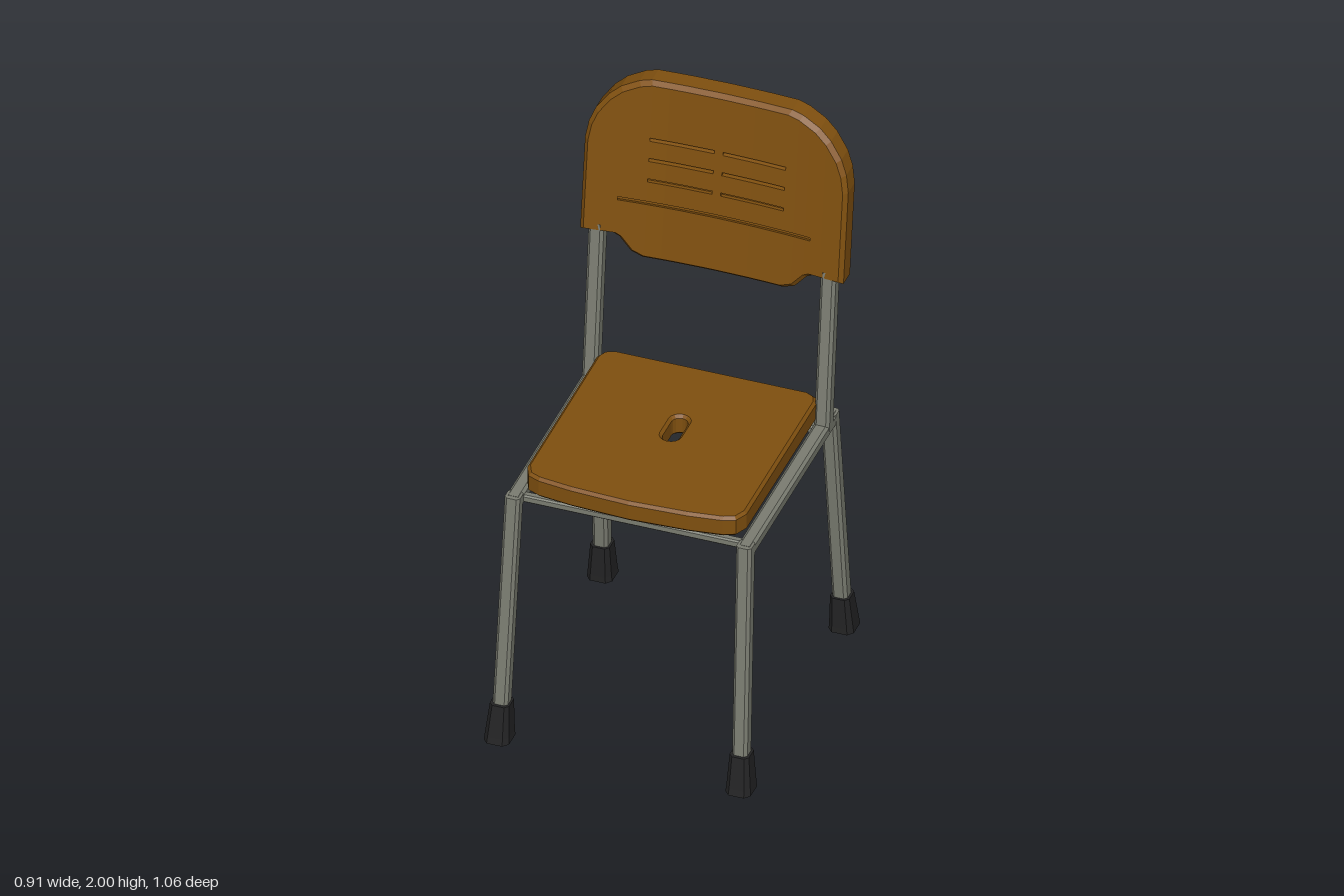
import * as THREE from 'three';
import { mergeGeometries } from 'three/addons/utils/BufferGeometryUtils.js';

const mat = (name, color) => {
  const m = new THREE.MeshStandardMaterial({ color });
  m.name = name;
  return m;
};

// Straight or stepped bar: chamfered rectangles [x, y, z, halfX, halfZ] joined bottom to top
function loft(sections) {
  const k = 0.62;
  const ring = [[1, -k], [1, k], [k, 1], [-k, 1], [-1, k], [-1, -k], [-k, -1], [k, -1]];
  const pts = sections.map(([x, y, z, a, b]) => ring.map(([u, v]) => [x + u * a, y, z - v * b]));
  const pos = [];
  const tri = (...p) => p.forEach((q) => pos.push(...q));
  for (let s = 0; s < pts.length - 1; s++) {
    const a = pts[s], b = pts[s + 1];
    for (let i = 0; i < 8; i++) {
      const j = (i + 1) % 8;
      tri(a[i], a[j], b[j]);
      tri(a[i], b[j], b[i]);
    }
  }
  const first = pts[0], last = pts[pts.length - 1];
  for (let i = 1; i < 7; i++) {
    tri(last[0], last[i], last[i + 1]);
    tri(first[0], first[i + 1], first[i]);
  }
  const g = new THREE.BufferGeometry();
  g.setAttribute('position', new THREE.Float32BufferAttribute(pos, 3));
  g.computeVertexNormals();
  return g;
}

// Linear lookup in a [[x, y], ...] profile
function sample(table, x) {
  x = Math.abs(x);
  for (let i = 1; i < table.length; i++) {
    const [x0, y0] = table[i - 1], [x1, y1] = table[i];
    if (x <= x1 + 1e-6) return y0 + (y1 - y0) * (x - x0) / (x1 - x0);
  }
  return table[table.length - 1][1];
}

// Curved, leaning backrest built from bent blocks in columns
function backrestGeometry() {
  const top = [[0, 2], [0.24, 2], [0.28, 1.99], [0.34, 1.96], [0.38, 1.925], [0.42, 1.87], [0.44, 1.82], [0.45, 1.76]];
  const bottom = [[0, 1.36], [0.24, 1.36], [0.28, 1.375], [0.32, 1.42], [0.34, 1.43], [0.45, 1.43]];
  const hi = (x) => sample(top, x), lo = (x) => sample(bottom, x);
  const half = [0.015, 0.12, 0.18, 0.24, 0.28, 0.32, 0.34, 0.38, 0.42, 0.44, 0.45];
  const xs = [...half.map((x) => -x).reverse(), ...half];
  const blocks = [];

  const block = (x0, x1, yLow, yHigh, w0, w1) => {
    const g = new THREE.BoxGeometry(1, 1, 1).toNonIndexed();
    const p = g.attributes.position;
    for (let i = 0; i < p.count; i++) {
      let x = x0 + (x1 - x0) * (p.getX(i) + 0.5);
      let y = yLow(x) + (yHigh(x) - yLow(x)) * (p.getY(i) + 0.5);
      const w = w1 + (w0 - w1) * (p.getZ(i) + 0.5);
      if (w === 0) { // chamfer around the front face
        x *= 0.968;
        y = 1.68 + (y - 1.68) * 0.96;
      }
      const bend = -0.028 * (1 - (x / 0.45) ** 2);
      p.setXYZ(i, x, y, -0.355 - 0.136 * (y - 1.43) + bend - w);
    }
    blocks.push(g);
  };

  for (let c = 0; c < xs.length - 1; c++) {
    const x0 = xs[c], x1 = xs[c + 1], m = Math.abs(x0 + x1) / 2;
    // Panel in two layers: grooves cut the front one, the top slot cuts both
    const inSlots = m > 0.015 && m < 0.24;
    const grooves = [...(m < 0.34 ? [1.56] : []), ...(inSlots ? [1.645, 1.722] : [])];
    const slot = inSlots ? [1.798] : [];
    for (const [w0, w1, cuts] of [[0, 0.015, [...grooves, ...slot]], [0.015, 0.032, slot]]) {
      let from = lo;
      for (const y of cuts) {
        block(x0, x1, from, () => y - 0.006, w0, w1);
        from = () => y + 0.006;
      }
      block(x0, x1, from, hi, w0, w1);
    }
    // Rear rim and post sockets
    if (m > 0.42) {
      block(x0, x1, lo, hi, 0.032, 0.075);
    } else {
      const band = m > 0.3 ? 0.045 : 0.022;
      block(x0, x1, (x) => hi(x) - band, hi, 0.032, 0.075);
      if (m > 0.34) block(x0, x1, lo, () => 1.83, 0.032, 0.066);
      else block(x0, x1, lo, (x) => lo(x) + 0.018, 0.032, 0.058);
    }
  }
  const g = mergeGeometries(blocks);
  g.computeVertexNormals();
  return g;
}

// Seat board with bowed front edge and a hand slot
function seatGeometry() {
  const side = [[0.2, 0.4], [0.315, 0.385], [0.355, 0.368], [0.375, 0.325], [0.375, -0.32], [0.362, -0.352], [0.33, -0.368]];
  const outline = [[0, 0.41], ...side, ...side.map(([x, z]) => [-x, z]).reverse()];
  const shape = new THREE.Shape(outline.map(([x, z]) => new THREE.Vector2(x, -z)));
  const hole = new THREE.Path();
  hole.absarc(0, 0.07, 0.028, 0, Math.PI);
  hole.absarc(0, -0.01, 0.028, Math.PI, Math.PI * 2);
  shape.holes.push(hole);
  const g = new THREE.ExtrudeGeometry(shape, {
    depth: 0.055, bevelEnabled: true, bevelSize: 0.01, bevelThickness: 0.01,
    bevelOffset: -0.01, bevelSegments: 1, curveSegments: 4,
  });
  g.rotateX(-Math.PI / 2);
  g.translate(0, 0.915, 0);
  return g;
}

export function createModel() {
  const wood = mat('brown board', 0x80500f);
  const metal = mat('grey metal', 0x7b7d72);
  const rubber = mat('black rubber', 0x232324);
  const model = new THREE.Group();
  model.name = 'chair';
  const add = (name, geometry, material) => {
    const mesh = new THREE.Mesh(geometry, material);
    mesh.name = name;
    model.add(mesh);
    return mesh;
  };

  add('seat', seatGeometry(), wood);
  add('backrest', backrestGeometry(), wood);

  for (const s of [1, -1]) {
    const label = s > 0 ? 'left' : 'right';
    // Side rail under the seat
    const rail = loft([[0, -0.4, 0, 0.026, 0.022], [0, 0.4, 0, 0.026, 0.022]]);
    rail.rotateX(Math.PI / 2);
    rail.translate(s * 0.396, 0.879, 0);
    add(label + 'Rail', rail, metal);
    // Post rising into the backrest
    add(label + 'Post', loft([
      [s * 0.397, 0.88, -0.33, 0.026, 0.028],
      [s * 0.397, 1.46, -0.392, 0.026, 0.026],
    ]), metal);
    // Splayed legs with flared feet
    for (const [end, f] of [['Front', 1], ['Back', -1]]) {
      add(label + end + 'Leg', loft([
        [s * 0.41, 0.1, f * 0.468, 0.026, 0.027],
        [s * 0.396, 0.9, f * 0.391, 0.026, 0.025],
      ]), metal);
      add(label + end + 'Foot', loft([
        [s * 0.413, 0, f * 0.479, 0.043, 0.049],
        [s * 0.413, 0.022, f * 0.477, 0.041, 0.046],
        [s * 0.41, 0.135, f * 0.466, 0.033, 0.036],
      ]), rubber);
    }
  }

  // Cross bars beneath the seat
  for (const [name, z, w] of [['frontCrossBar', 0.36, 0.014], ['backCrossBar', -0.32, 0.02]]) {
    const bar = loft([[0, -0.385, 0, 0.014, w], [0, 0.385, 0, 0.014, w]]);
    bar.rotateZ(Math.PI / 2);
    bar.translate(0, 0.878, z);
    add(name, bar, metal);
  }
  return model;
}
